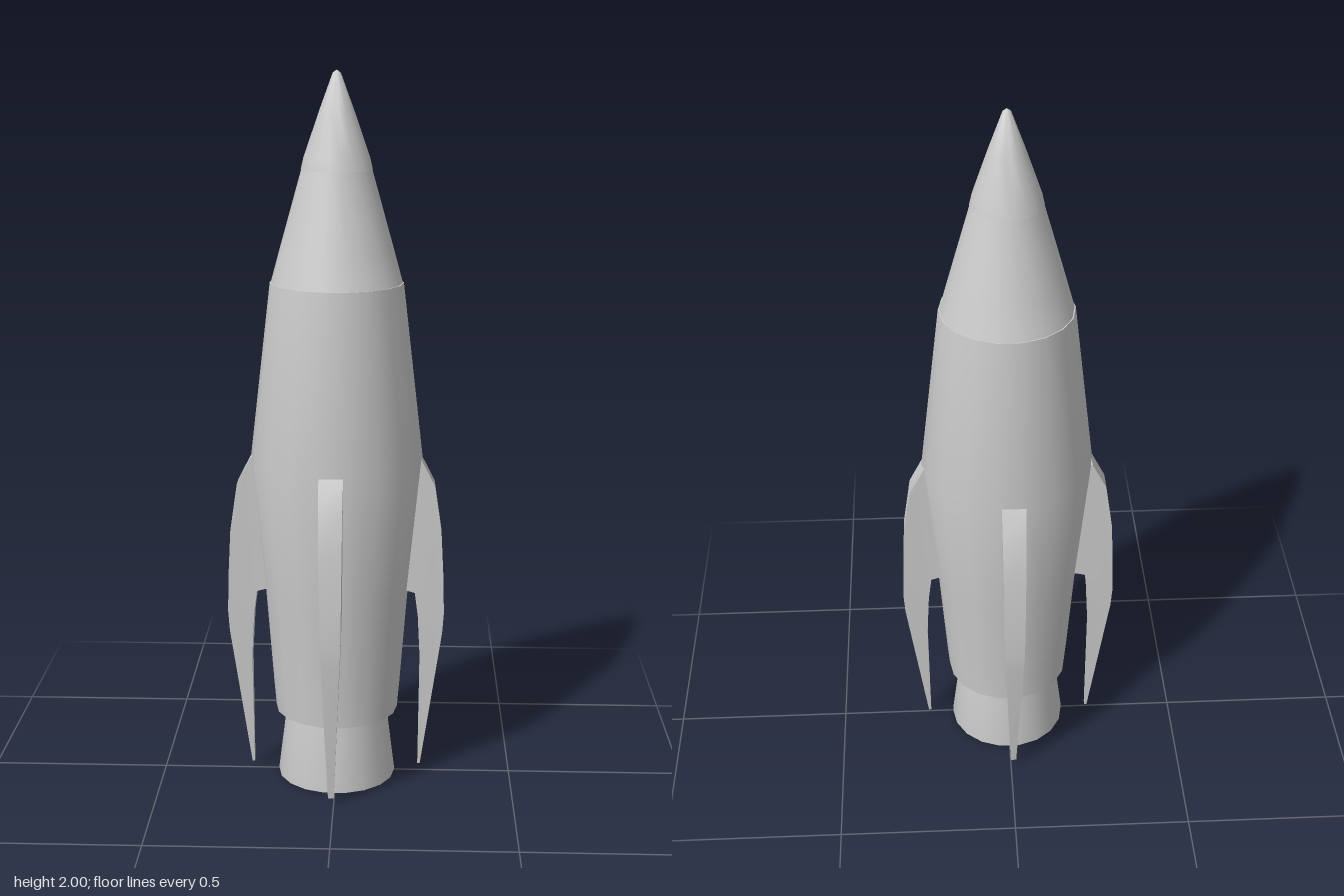
import * as THREE from 'three';
import { toCreasedNormals } from 'three/addons/utils/BufferGeometryUtils.js';

const SIDES = 18;

export function createModel() {
  const rocket = new THREE.Group();
  rocket.name = 'rocket';
  const grey = new THREE.MeshStandardMaterial({ color: 0xcccccc });
  const doubleGrey = new THREE.MeshStandardMaterial({ color: 0xcccccc, side: THREE.DoubleSide });

  // Turned part from [radius, height] pairs, listed from bottom to top
  function turned(name, profile, material = grey) {
    const points = profile.map(([r, y]) => new THREE.Vector2(r, y));
    const geometry = toCreasedNormals(
      new THREE.LatheGeometry(points, SIDES, Math.PI / 2), 0.7);
    const mesh = new THREE.Mesh(geometry, material);
    mesh.name = name;
    rocket.add(mesh);
  }

  turned('fuselage', [[0, 0.2], [0.174, 0.2], [0.18, 0.27], [0.202, 0.56],
    [0.24, 0.94], [0.183, 1.433], [0, 1.433]]);
  turned('noseCone', [[0, 1.433], [0.18, 1.433], [0.155, 1.525], [0.095, 1.74], [0, 1.74]]);
  turned('noseTip', [[0, 1.738], [0.097, 1.738], [0.09, 1.768], [0.05, 1.885],
    [0.011, 1.992], [0, 2]]);

  // Open flared nozzle with a thin wall, closed inside the fuselage
  turned('nozzle', [[0, 0.21], [0.13, 0.21], [0.154, 0.003], [0.158, 0],
    [0.167, 0], [0.167, 0.01], [0.142, 0.21]], doubleGrey);

  // Fin outline: outer edge downwards, then the inner edge of the leg upwards
  const outline = [[0.15, 0.945], [0.236, 0.945], [0.277, 0.865], [0.297, 0.73], [0.304, 0.6],
    [0.307, 0.49], [0.303, 0.43], [0.244, 0.02], [0.237, 0.02], [0.24, 0.35],
    [0.233, 0.48], [0.224, 0.55], [0.2, 0.557], [0.15, 0.557]];
  const shape = new THREE.Shape(outline.map(([x, y]) => new THREE.Vector2(x, y)));
  const finGeometry = new THREE.ExtrudeGeometry(shape, { depth: 1, bevelEnabled: false });

  // Fins narrow towards the foot
  const position = finGeometry.attributes.position;
  for (let i = 0; i < position.count; i++) {
    const y = position.getY(i);
    const width = y > 0.5
      ? THREE.MathUtils.mapLinear(y, 0.5, 0.945, 0.057, 0.066)
      : THREE.MathUtils.mapLinear(y, 0.02, 0.5, 0.016, 0.057);
    position.setZ(i, (position.getZ(i) - 0.5) * width);
  }
  const fin = toCreasedNormals(finGeometry, 0.7);

  // Four fins, each set slightly off the centre line
  const names = ['leftFin', 'backFin', 'rightFin', 'frontFin'];
  names.forEach((name, i) => {
    const mesh = new THREE.Mesh(fin, grey);
    mesh.name = name;
    mesh.rotation.y = i * Math.PI / 2;
    if (i % 2) mesh.position.set(-0.0075, 0, -0.002);
    else mesh.position.set(-0.002, 0, -0.0075);
    rocket.add(mesh);
  });

  return rocket;
}
